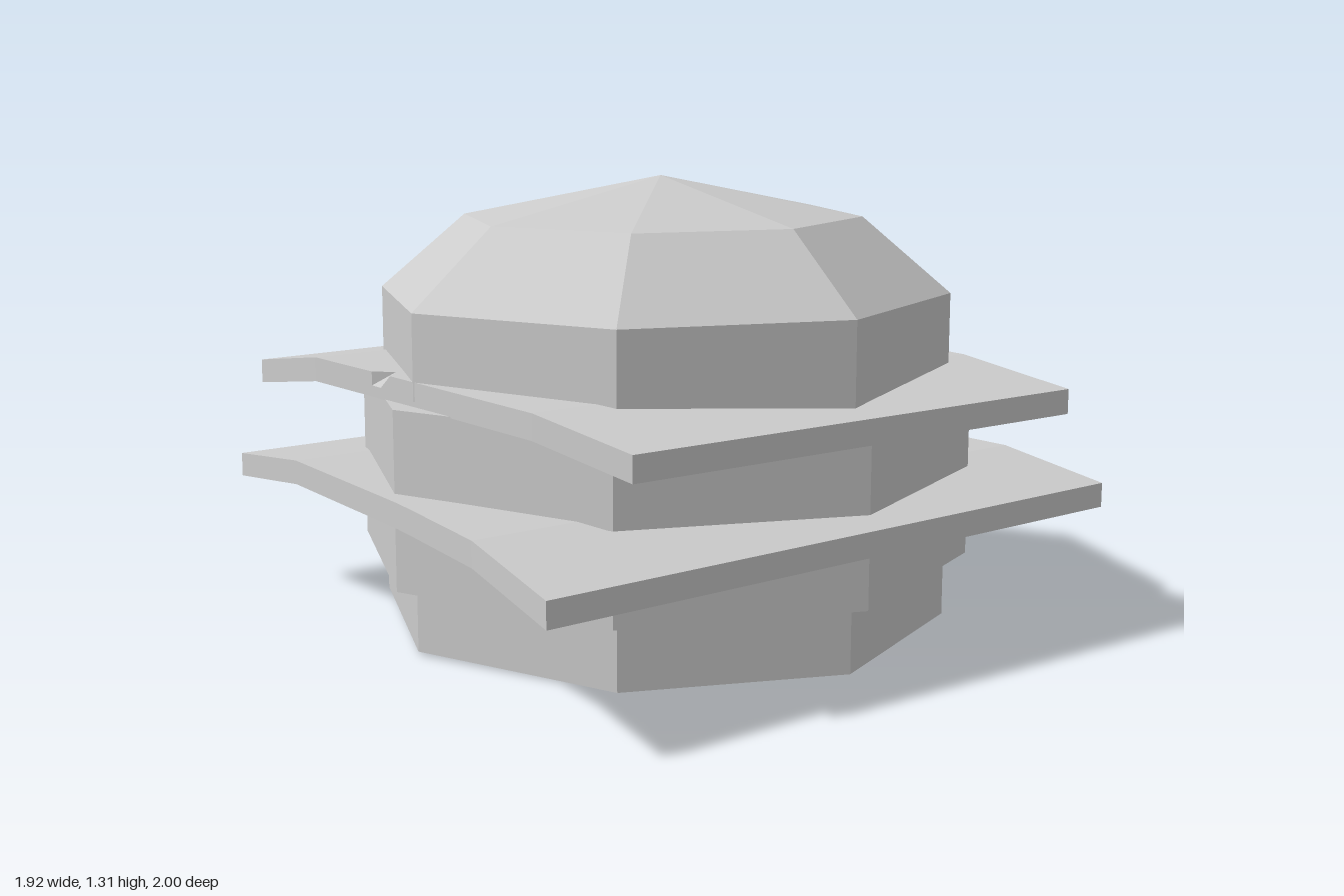
import * as THREE from 'three';

const material = new THREE.MeshStandardMaterial({ color: 0xcccccc, flatShading: true });

function makeMesh(name, geometry) {
  const flat = geometry.index ? geometry.toNonIndexed() : geometry;
  flat.computeVertexNormals();
  const mesh = new THREE.Mesh(flat, material);
  mesh.name = name;
  return mesh;
}

// Eight-sided layer from [radius, y] pairs (bottom to top), leaning by tilt(y) along x
function layer(name, profile, tilt = () => 0) {
  const points = profile.map(([r, y]) => new THREE.Vector2(r, y));
  const geometry = new THREE.LatheGeometry(points, 8);
  const p = geometry.attributes.position;
  for (let i = 0; i < p.count; i++) p.setY(i, p.getY(i) + tilt(p.getY(i)) * p.getX(i));
  geometry.translate(0, 0, -0.07);
  return makeMesh(name, geometry);
}

// Thin drooping slice: one six-point section per station along x.
// Station: [xFront, zFront, xBack, zBack, yTop, frontChip, backChip]
function slice(name, stations, thickness) {
  const positions = [], index = [], n = 6;
  for (const [xf, zf, xb, zb, y, frontChip = 0, backChip = 0] of stations) {
    positions.push(
      xb, y, zb + backChip,
      xf, y, zf - frontChip,
      xf, y - 0.04, zf,
      xf, y - thickness, zf,
      xb, y - thickness, zb,
      xb, y - 0.04, zb,
    );
  }
  for (let s = 0; s < stations.length - 1; s++) {
    for (let k = 0; k < n; k++) {
      const a = s * n + k, b = s * n + (k + 1) % n;
      index.push(a, b, a + n, b, b + n, a + n);
    }
  }
  // End caps
  const last = (stations.length - 1) * n;
  for (let k = 1; k < n - 1; k++) {
    index.push(0, k + 1, k);
    index.push(last, last + k, last + k + 1);
  }
  const geometry = new THREE.BufferGeometry();
  geometry.setAttribute('position', new THREE.Float32BufferAttribute(positions, 3));
  geometry.setIndex(index);
  return makeMesh(name, geometry);
}

export function createModel() {
  const group = new THREE.Group();
  group.name = 'burger';

  // Buns
  group.add(layer('bottomBun', [[0, 0.01], [0.855, 0.01], [0.855, 0.2], [0, 0.2]],
    (y) => (y < 0.1 ? -0.011 : 0)));
  group.add(layer('topBun',
    [[0, 0.725], [0.855, 0.725], [0.855, 0.97], [0.595, 1.192], [0, 1.31]],
    (y) => (y > 0.9 ? 0.008 : 0)));

  // Patties
  for (const [name, low, high] of [['lowerPatty', 0.195, 0.42], ['upperPatty', 0.46, 0.71]]) {
    group.add(layer(name, [[0, low], [0.92, low], [0.92, high], [0, high]]));
  }

  // Cheese slices
  group.add(slice('lowerCheese', [
    [-0.96, 0.85, -0.955, -0.865, 0.425],
    [-0.55, 0.87, -0.55, -0.91, 0.475],
    [0, 0.895, 0.12, -0.955, 0.475],
    [0.1, 0.9, 0.17, -0.96, 0.475, 0, 0.04],
    [0.2, 0.91, 0.22, -0.965, 0.475],
    [0.55, 0.945, 0.55, -0.99, 0.472],
    [0.955, 0.995, 0.925, -1.0, 0.42],
  ], 0.072));
  group.add(slice('upperCheese', [
    [-0.92, 0.79, -0.955, -0.862, 0.722],
    [-0.55, 0.795, -0.55, -0.825, 0.778],
    [-0.22, 0.79, -0.22, -0.81, 0.78],
    [-0.17, 0.79, -0.17, -0.808, 0.78, 0.05],
    [-0.12, 0.788, -0.12, -0.805, 0.78],
    [0.55, 0.76, 0.55, -0.795, 0.775],
    [0.93, 0.725, 0.96, -0.795, 0.728],
  ], 0.072));

  return group;
}
